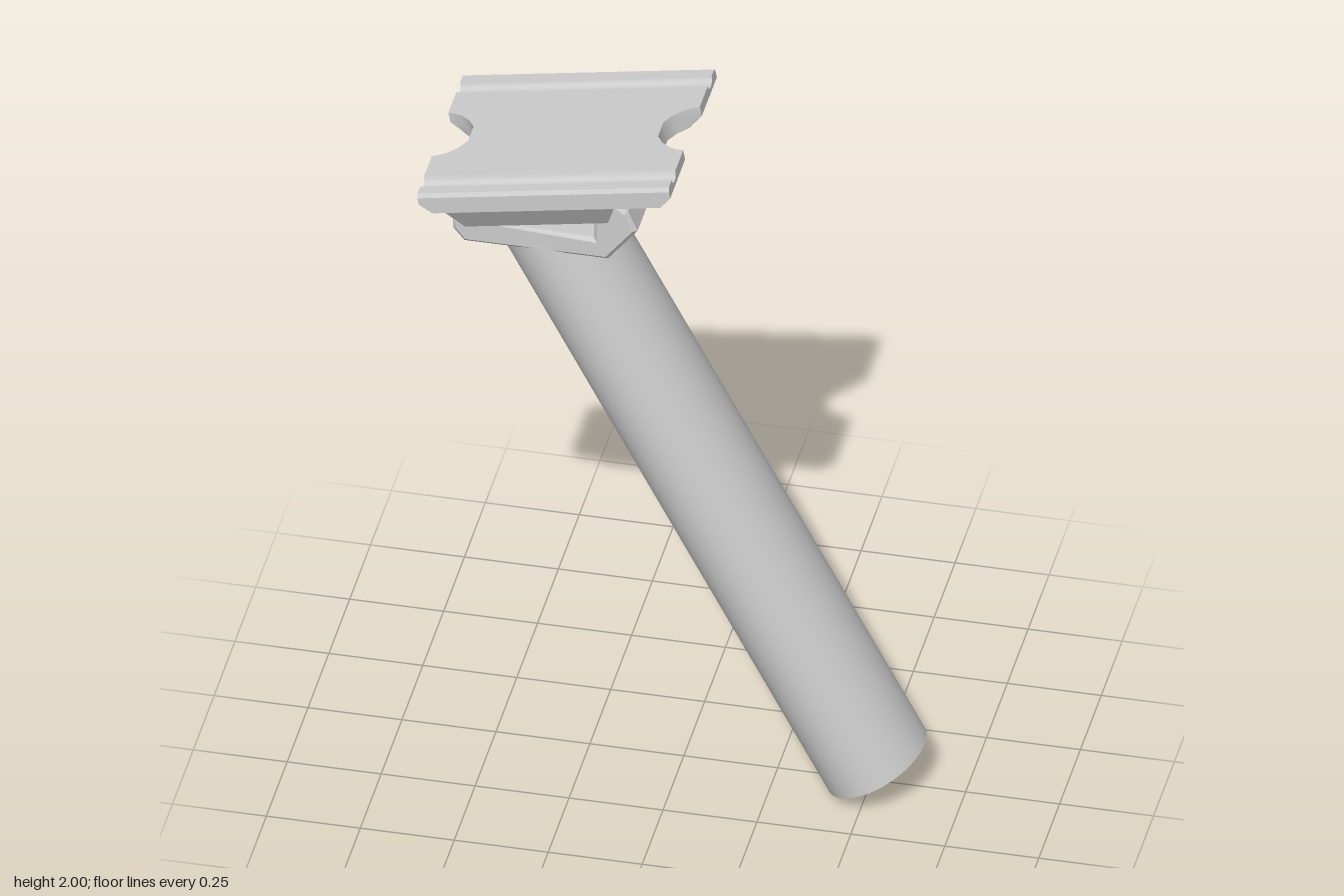
import * as THREE from 'three';
import { toCreasedNormals } from 'three/addons/utils/BufferGeometryUtils.js';

const material = new THREE.MeshStandardMaterial({ color: 0xcccccc });

function add(parent, name, geometry) {
  const mesh = new THREE.Mesh(geometry, material);
  mesh.name = name;
  parent.add(mesh);
  return mesh;
}

const polygon = (pts) => new THREE.Shape(pts.map(([x, y]) => new THREE.Vector2(x, y)));

// Apply a rule to every vertex, then rebuild normals with sharp edges kept
function reshape(geometry, rule) {
  const p = geometry.attributes.position;
  const v = new THREE.Vector3();
  for (let i = 0; i < p.count; i++) {
    rule(v.fromBufferAttribute(p, i));
    p.setXYZ(i, v.x, v.y, v.z);
  }
  return toCreasedNormals(geometry, 0.6);
}

const HALF = 0.34; // half length of the top plate
const LIP = 0.058; // thickness of its upper layer

// Undercut the lower edge at both ends of the plate
const undercutEnds = (v) => {
  if (v.y < -0.05 && Math.abs(v.x) > 0.32) v.x = Math.sign(v.x) * 0.308;
};

function createTube(root) {
  const tilt = THREE.MathUtils.degToRad(28.05);
  const length = 1.828, outer = 0.167, inner = 0.153;
  const profile = [[outer, 0], [outer, length], [inner, length], [inner, 0], [outer, 0]]
    .map(([r, y]) => new THREE.Vector2(r, y));
  // Oval section, square cut at the foot, level cut at the head
  const geometry = reshape(new THREE.LatheGeometry(profile, 64), (v) => {
    v.x *= 0.86;
    if (v.y > 0.5) v.y -= v.x * Math.tan(tilt);
  });
  const tube = add(root, 'tube', geometry);
  tube.position.set(0.514, 0.067, 0);
  tube.rotation.z = tilt;
}

function createBracket(root) {
  // Wedge-shaped cradle with a see-through triangular window
  const shape = polygon([
    [-0.57, 1.705], [-0.545, 1.674], [-0.172, 1.674], [-0.1, 1.765],
    [-0.122, 1.815], [-0.16, 1.84], [-0.52, 1.77], [-0.57, 1.725],
  ]);
  shape.holes.push(new THREE.Path([
    new THREE.Vector2(-0.49, 1.731), new THREE.Vector2(-0.195, 1.8), new THREE.Vector2(-0.195, 1.715),
  ]));
  const geometry = new THREE.ExtrudeGeometry(shape, {
    depth: 0.31, bevelEnabled: true, bevelSize: 0.01, bevelThickness: 0.01, bevelSegments: 1,
  });
  geometry.translate(0, 0, -0.155);
  add(root, 'bracket', geometry);
}

function createPlate(root) {
  const plate = new THREE.Group();
  plate.name = 'topPlate';
  plate.position.set(-0.314, 1.938, 0);
  plate.rotation.z = THREE.MathUtils.degToRad(10.3);
  root.add(plate);

  // Deck with a rounded notch in each end and a bolt hole
  const notch = [[HALF, 0.1], [0.322, 0.095], [0.3, 0.085], [0.275, 0.062], [0.257, 0.032]];
  const end = [...notch, ...notch.map(([x, z]) => [x, -z]).reverse()];
  const deckShape = polygon([
    [HALF, 0.19], ...end, [HALF, -0.19],
    [-HALF, -0.19], ...end.map(([x, z]) => [-x, z]).reverse(), [-HALF, 0.19],
  ]);
  const bolt = new THREE.Path();
  bolt.absellipse(0.096, 0, 0.04, 0.028, 0, Math.PI * 2, true);
  deckShape.holes.push(bolt);
  const deck = new THREE.ExtrudeGeometry(deckShape, {
    depth: LIP, steps: 2, bevelEnabled: false, curveSegments: 24,
  });
  deck.rotateX(Math.PI / 2);
  add(plate, 'deck', reshape(deck, undercutEnds));

  // Side rims, each with a round groove along its inner edge
  for (const side of [-1, 1]) {
    const groove = [];
    for (let i = 0; i <= 8; i++) {
      const a = (i / 8) * Math.PI;
      groove.push([side * (0.217 - 0.024 * Math.cos(a)), -0.018 * Math.sin(a)]);
    }
    const rimShape = polygon([
      [side * 0.19, -LIP], [side * 0.19, -0.03], [side * 0.19, 0], ...groove,
      [side * 0.272, 0], [side * 0.28, -0.01], [side * 0.28, -0.03], [side * 0.28, -LIP],
    ]);
    const rim = new THREE.ExtrudeGeometry(rimShape, { depth: HALF * 2, bevelEnabled: false });
    rim.rotateY(Math.PI / 2).translate(-HALF, 0, 0);
    add(plate, side < 0 ? 'rightRim' : 'leftRim', reshape(rim, undercutEnds));
  }

  // Tapered block below the deck
  const block = new THREE.BoxGeometry(1, 1, 1);
  add(plate, 'taperedBlock', reshape(block, (v) => {
    const top = v.y > 0;
    v.x = v.x > 0 ? (top ? 0.182 : 0.143) : (top ? -0.273 : -0.244);
    v.z = Math.sign(v.z) * (top ? 0.28 : 0.235);
    v.y = top ? -LIP : -0.132;
  }));
}

function createBoss(root) {
  // Angled boss with a bolt hole, backed by a gusset under the plate
  const face = polygon([[-0.05, -0.054], [0.05, -0.054], [0.05, 0.054], [-0.05, 0.054]]);
  const hole = new THREE.Path();
  hole.absarc(0, 0, 0.027, 0, Math.PI * 2, true);
  face.holes.push(hole);
  const geometry = new THREE.ExtrudeGeometry(face, { depth: 0.025, bevelEnabled: false, curveSegments: 16 });
  geometry.rotateY(Math.PI / 2).rotateZ(-0.76);
  const boss = add(root, 'boltBoss', toCreasedNormals(geometry, 0.6));
  boss.position.set(-0.128, 1.888, 0);

  const gusset = new THREE.ExtrudeGeometry(
    polygon([[-0.17, 1.85], [-0.09, 1.927], [-0.17, 1.927]]),
    { depth: 0.1, bevelEnabled: false },
  );
  gusset.translate(0, 0, -0.05);
  add(root, 'bossGusset', gusset);
}

export function createModel() {
  const root = new THREE.Group();
  root.name = 'clampPost';
  createTube(root);
  createBracket(root);
  createPlate(root);
  createBoss(root);
  return root;
}
